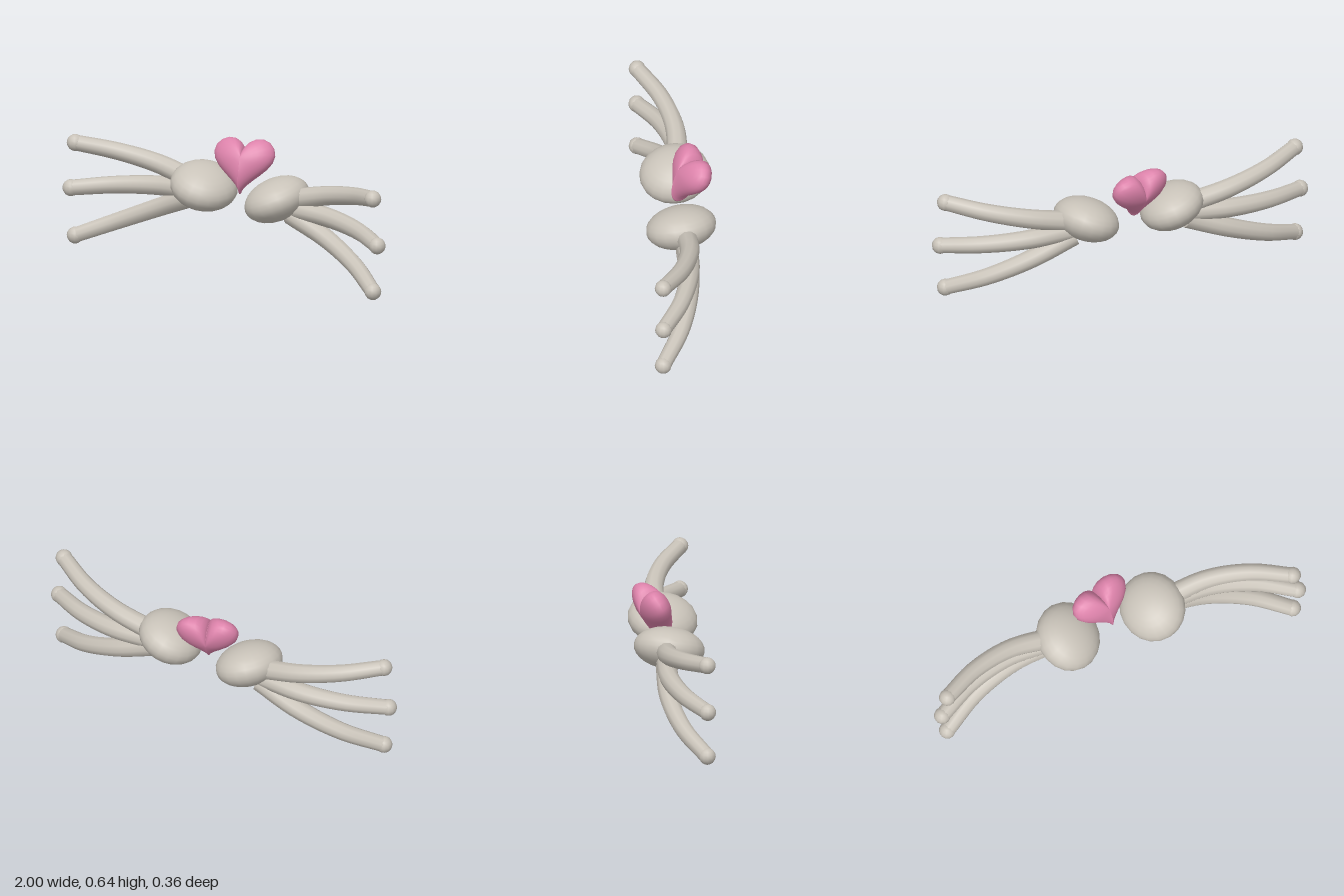
import * as THREE from 'three';
import { mergeVertices } from 'three/addons/utils/BufferGeometryUtils.js';

const grey = new THREE.MeshStandardMaterial({ color: 0xc9c3b9 });
grey.name = 'warmGrey';
const pink = new THREE.MeshStandardMaterial({ color: 0xdc82aa });
pink.name = 'pink';

function addMesh(parent, name, geometry, material) {
  const mesh = new THREE.Mesh(geometry, material);
  mesh.name = name;
  parent.add(mesh);
  return mesh;
}

// Weld the vertices again and recompute smooth normals
function smooth(geometry) {
  geometry.deleteAttribute('normal');
  geometry.deleteAttribute('uv');
  const welded = mergeVertices(geometry, 1e-5);
  welded.computeVertexNormals();
  return welded;
}

// Tube that narrows from root to tip
function taperedTube(curve, rootRadius, tipRadius) {
  const rings = 16, sides = 10;
  const geometry = new THREE.TubeGeometry(curve, rings, 1, sides);
  const pos = geometry.attributes.position;
  const p = new THREE.Vector3();
  for (let i = 0; i <= rings; i++) {
    const c = curve.getPointAt(i / rings);
    const r = THREE.MathUtils.lerp(rootRadius, tipRadius, i / rings);
    for (let j = 0; j <= sides; j++) {
      const k = i * (sides + 1) + j;
      p.fromBufferAttribute(pos, k).sub(c).multiplyScalar(r).add(c);
      pos.setXYZ(k, p.x, p.y, p.z);
    }
  }
  return geometry;
}

// Puffy heart: a sphere whose equator follows a heart outline
function heartGeometry(scale, depth) {
  const geometry = new THREE.SphereGeometry(1, 32, 16).rotateX(Math.PI / 2);
  const pos = geometry.attributes.position;
  for (let i = 0; i < pos.count; i++) {
    const x = pos.getX(i), y = pos.getY(i);
    const t = Math.atan2(x, y), r = Math.hypot(x, y) * scale;
    const hx = 16 * Math.sin(t) ** 3;
    const hy = 13 * Math.cos(t) - 5 * Math.cos(2 * t) - 2 * Math.cos(3 * t) - Math.cos(4 * t);
    pos.setXYZ(i, hx * r, hy * r, pos.getZ(i) * depth);
  }
  return smooth(geometry);
}

// Centre lines on the +x side, from root to tip
const whiskers = {
  upperWhisker: [[0.31, 0.395, -0.015], [0.53, 0.447, -0.017], [0.74, 0.49, 0.04], [0.93, 0.528, 0.145]],
  middleWhisker: [[0.32, 0.347, -0.015], [0.54, 0.332, -0.017], [0.76, 0.312, 0.04], [0.957, 0.288, 0.145]],
  lowerWhisker: [[0.30, 0.315, -0.015], [0.52, 0.222, -0.017], [0.74, 0.127, 0.04], [0.93, 0.045, 0.145]],
};

export function createModel() {
  const model = new THREE.Group();
  model.name = 'heartNoseAndWhiskers';

  for (const side of [1, -1]) {
    const cheek = new THREE.Group();
    cheek.name = side > 0 ? 'leftCheek' : 'rightCheek';
    model.add(cheek);

    // Flattened, tilted cheek pad
    const pad = addMesh(cheek, 'pad', new THREE.SphereGeometry(1, 20, 14), grey);
    pad.scale.set(0.168, 0.108, 0.18);
    pad.position.set(0.227 * side, 0.385, 0.005);
    pad.rotation.set(0.1, 0.15 * side, 0.36 * side);

    // Three whiskers with round tips
    for (const [name, points] of Object.entries(whiskers)) {
      const whisker = new THREE.Group();
      whisker.name = name;
      cheek.add(whisker);
      const curve = new THREE.CatmullRomCurve3(
        points.map(([x, y, z]) => new THREE.Vector3(x * side, y, z)));
      addMesh(whisker, 'strand', taperedTube(curve, 0.054, 0.04), grey);

      const root = addMesh(whisker, 'rootCap', new THREE.CircleGeometry(0.054, 10), grey);
      root.position.copy(curve.getPointAt(0));
      root.lookAt(root.position.clone().sub(curve.getTangentAt(0)));

      const tip = addMesh(whisker, 'tip', new THREE.SphereGeometry(0.043, 12, 8), grey);
      tip.position.copy(curve.getPointAt(1));
    }
  }

  // Heart nose, leaning back and turned a little to its left
  const nose = addMesh(model, 'heartNose', heartGeometry(0.01, 0.077), pink);
  nose.position.set(-0.025, 0.53, -0.058);
  nose.rotation.order = 'YXZ';
  nose.rotation.set(-0.45, 0.32, 0);

  return model;
}
